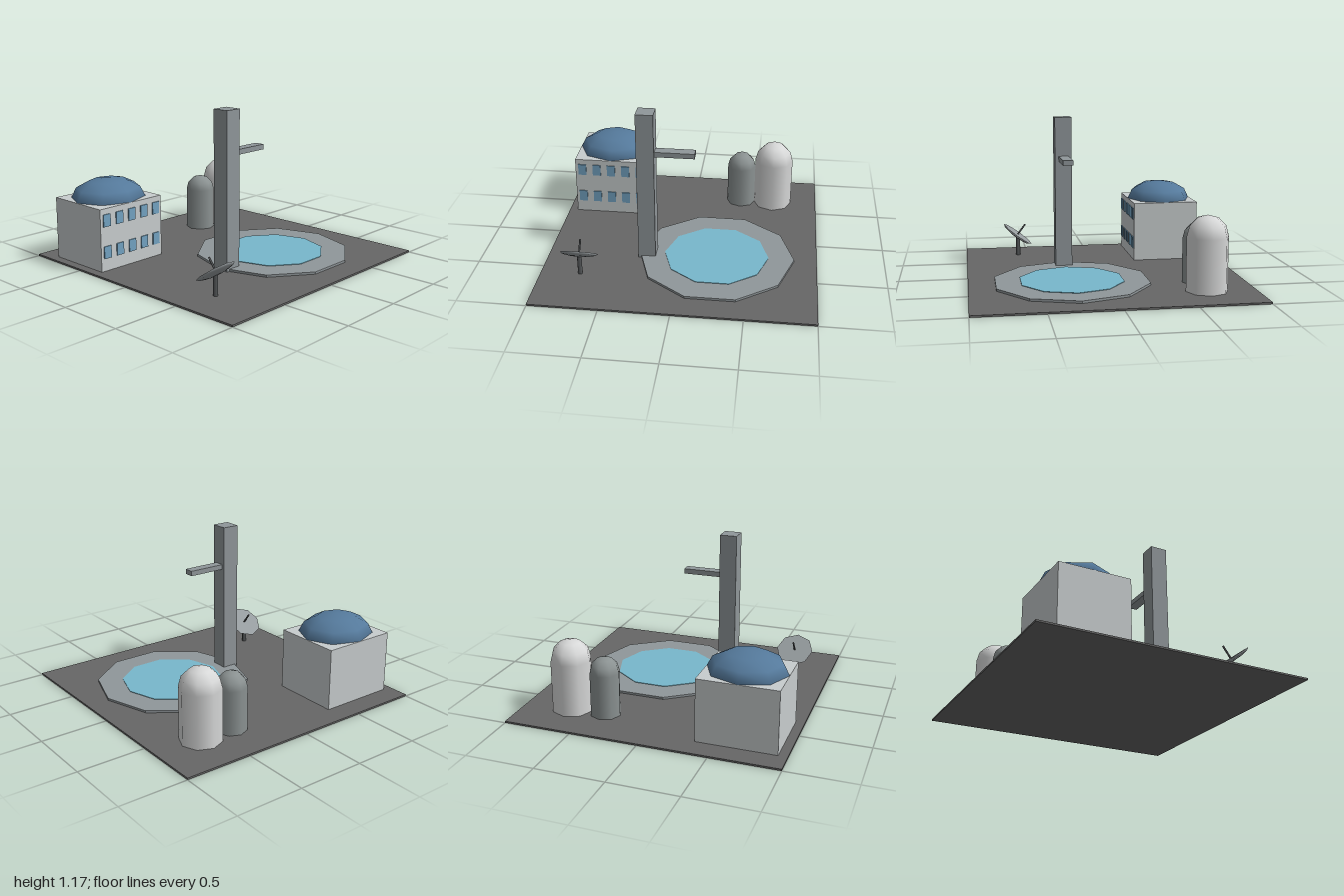
import * as THREE from 'three';

const paint = (name, color) => {
  const m = new THREE.MeshStandardMaterial({ color });
  m.name = name;
  return m;
};

export function createModel() {
  const ground = paint('asphalt', 0x666666);
  const concrete = paint('concrete', 0x90979a);
  const wall = paint('pale wall', 0xc8cdce);
  const roofBlue = paint('dome blue', 0x557a9c);
  const glass = paint('window glass', 0x72a3c2);
  const water = paint('water', 0x78b8cc);
  const white = paint('white tank', 0xd8d9d9);
  const grey = paint('grey tank', 0x8c9393);
  const dark = paint('dark metal', 0x55585a);
  const dishGrey = paint('dish grey', 0x979da0);

  const model = new THREE.Group();
  const add = (name, geometry, material, x, y, z, parent = model) => {
    const mesh = new THREE.Mesh(geometry, material);
    mesh.name = name;
    mesh.position.set(x, y, z);
    parent.add(mesh);
    return mesh;
  };
  // Box given by its centre in x and z and by its bottom and top
  const block = (name, material, x, z, w, d, y0, y1, parent) =>
    add(name, new THREE.BoxGeometry(w, y1 - y0, d), material, x, (y0 + y1) / 2, z, parent);
  // Flat-sided ten-cornered slab with a corner on the x axis
  const decagon = (name, material, r, y0, y1) => {
    const g = new THREE.CylinderGeometry(r, r, y1 - y0, 10).rotateY(Math.PI / 2).toNonIndexed();
    g.computeVertexNormals();
    return add(name, g, material, 0.255, (y0 + y1) / 2, 0.256);
  };
  const halfDome = (r) => new THREE.SphereGeometry(r, 8, 3, 0, Math.PI * 2, 0, Math.PI / 2);

  const base = 0.013;
  block('groundSlab', ground, 0, 0, 2, 2, 0, base);

  // Launch pad with pool
  decagon('padRim', concrete, 0.578, base, 0.03);
  decagon('poolWater', water, 0.388, 0.026, 0.034);

  // Tower and its service arm
  block('tower', concrete, -0.26, 0.259, 0.128, 0.128, base, 1.175);
  block('towerArm', concrete, -0.053, 0.257, 0.29, 0.075, 0.842, 0.88);

  // Building with a flattened dome
  const building = new THREE.Group();
  building.name = 'building';
  model.add(building);
  block('walls', wall, -0.647, -0.581, 0.576, 0.512, base, 0.474, building);
  const dome = add('roofDome', halfDome(1), roofBlue, -0.647, 0.474, -0.581, building);
  dome.scale.set(0.288, 0.145, 0.256);
  for (const y of [0.152, 0.387])
    for (let i = -2; i <= 2; i++)
      block('window', glass, -0.647 + i * 0.116, -0.3215, 0.064, 0.009, y - 0.045, y + 0.045, building);

  // Storage tanks with round tops
  const tank = (name, material, x, z, r, top) => {
    const group = new THREE.Group();
    group.name = name;
    model.add(group);
    const h = top - r - base;
    add('tankBody', new THREE.CylinderGeometry(r, r, h, 8), material, x, base + h / 2, z, group);
    add('tankTop', halfDome(r), material, x, top - r, z, group);
  };
  tank('largeTank', white, 0.642, -0.646, 0.151, 0.551);
  tank('smallTank', grey, 0.382, -0.645, 0.112, 0.45);

  // Dish antenna, tilted up and to the back
  const antenna = new THREE.Group();
  antenna.name = 'dishAntenna';
  antenna.position.set(-0.711, 0, 0.581);
  model.add(antenna);
  add('dishPole', new THREE.CylinderGeometry(0.017, 0.017, 0.147, 8), dark, 0, base + 0.0735, 0, antenna);
  const head = new THREE.Group();
  head.name = 'dishHead';
  head.position.y = 0.186;
  head.rotation.x = -0.64;
  antenna.add(head);
  const bowl = new THREE.SphereGeometry(0.142, 8, 3, 0, Math.PI * 2, Math.PI / 2, Math.PI / 2);
  add('dishBowl', bowl.scale(1, 0.2, 1), dishGrey, 0, 0, 0, head);
  add('dishFace', new THREE.CircleGeometry(0.142, 8).rotateX(-Math.PI / 2), dishGrey, 0, 0, 0, head);
  add('dishFeed', new THREE.CylinderGeometry(0.007, 0.007, 0.1, 8), dark, 0, 0.05, 0, head);

  return model;
}
